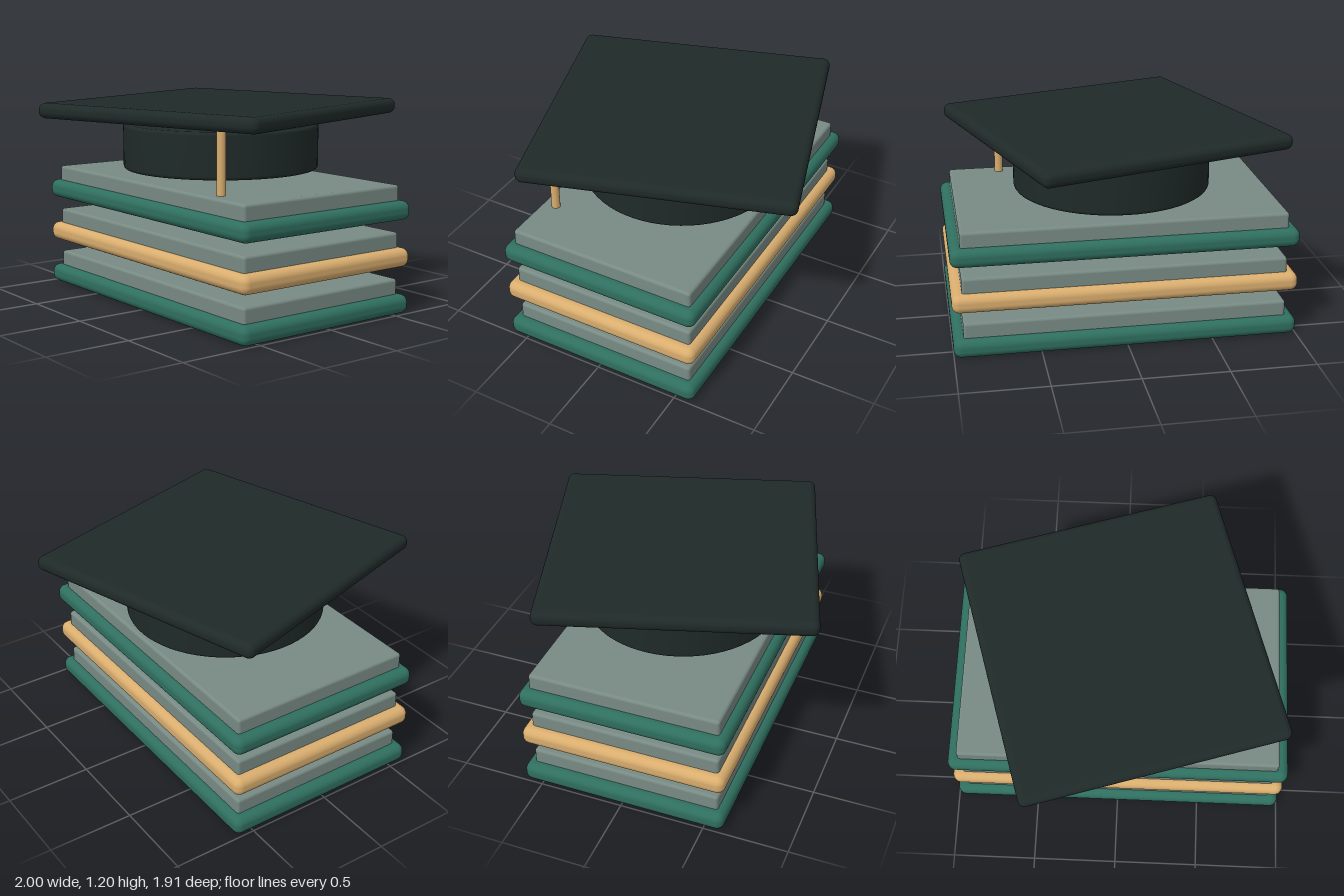
import * as THREE from 'three';
import { RoundedBoxGeometry } from 'three/addons/geometries/RoundedBoxGeometry.js';

const mat = (color) => new THREE.MeshStandardMaterial({ color });

export function createModel() {
  const model = new THREE.Group();
  model.name = 'graduationCapOnBooks';
  const green = mat(0x2f6f5f), tan = mat(0xd9ad6e), grey = mat(0x788a84), dark = mat(0x1f2a28);

  const add = (parent, name, geometry, material, x, y, z) => {
    const mesh = new THREE.Mesh(geometry, material);
    mesh.name = name;
    mesh.position.set(x, y, z);
    parent.add(mesh);
    return mesh;
  };

  // Three stacked books: a rounded cover with a block of pages on top
  const coverGeometry = new RoundedBoxGeometry(2, 0.11, 1.225, 5, 0.045);
  const pagesGeometry = new RoundedBoxGeometry(1.88, 0.14, 1.13, 3, 0.018);
  [green, tan, green].forEach((material, i) => {
    const book = new THREE.Group();
    book.name = `book${i + 1}`;
    book.position.y = i * 0.274;
    add(book, 'cover', coverGeometry, material, 0, 0.055, 0);
    add(book, 'pages', pagesGeometry, grey, 0, 0.13, 0);
    model.add(book);
  });

  // Cap: round crown with softened rims
  const cap = new THREE.Group();
  cap.name = 'cap';
  const radius = 0.583, half = 0.135, fillet = 0.02;
  const profile = [new THREE.Vector2(0, -half)];
  for (const side of [-1, 1]) {
    for (let i = 0; i <= 4; i++) {
      const a = side < 0 ? -Math.PI / 2 + (i * Math.PI) / 8 : (i * Math.PI) / 8;
      profile.push(new THREE.Vector2(
        radius - fillet + fillet * Math.cos(a),
        side * (half - fillet) + fillet * Math.sin(a)));
    }
  }
  profile.push(new THREE.Vector2(0, half));
  add(cap, 'crown', new THREE.LatheGeometry(profile, 64), dark, 0, 0.931, 0);

  // Square board, turned on the crown
  const board = add(cap, 'board', new RoundedBoxGeometry(1.545, 0.09, 1.545, 5, 0.04), dark, 0, 1.15, 0);
  board.rotation.y = 0.3;

  // Tassel hanging from the front left edge of the board
  add(cap, 'tassel', new THREE.CylinderGeometry(0.025, 0.025, 0.38, 20), tan, 0.633, 0.93, 0.48);
  model.add(cap);

  return model;
}
